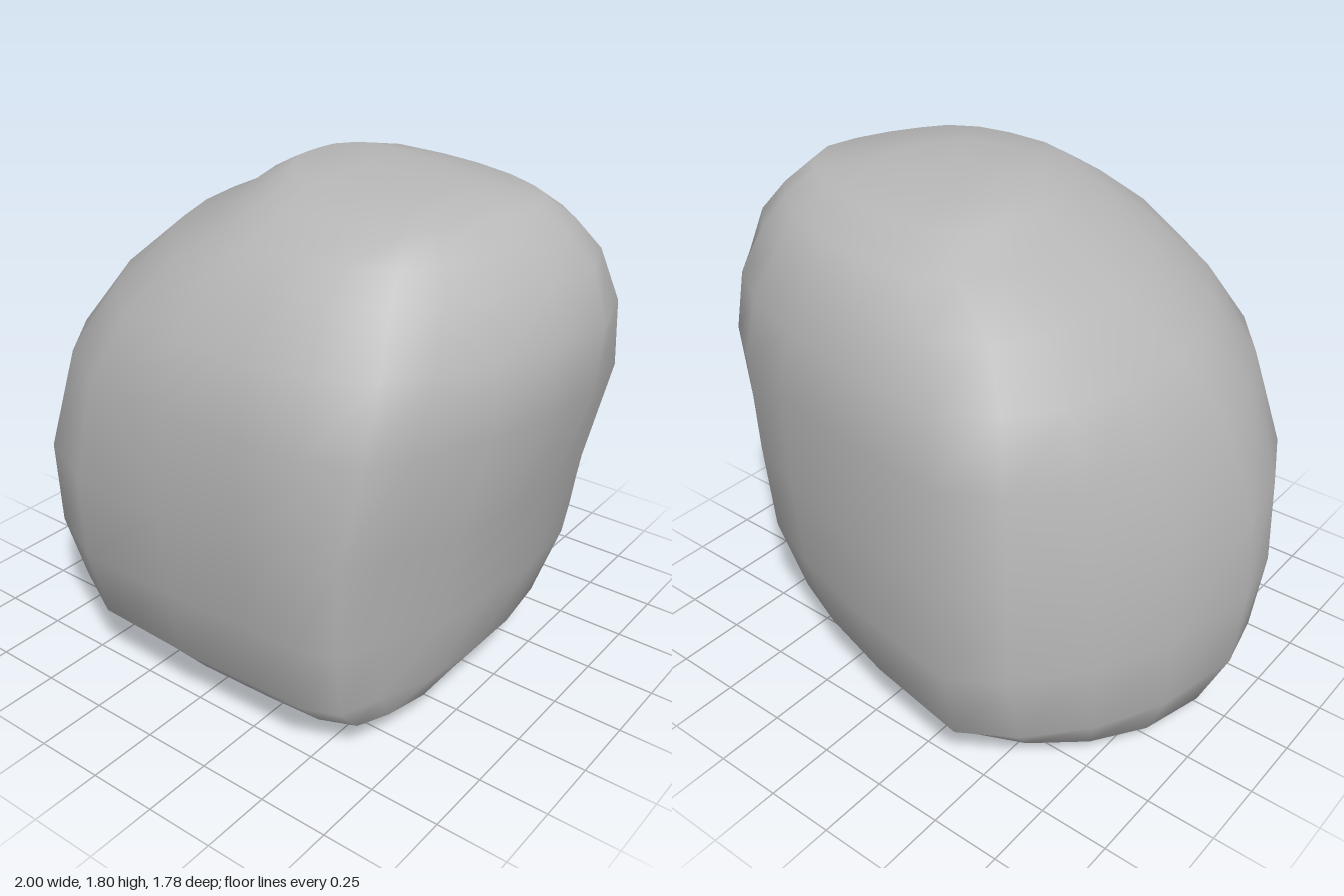
import * as THREE from 'three';

// Plan outlines as [x, z], clockwise from the back-left corner: foot, waist and shoulder
const outlines = [
  [[-0.38, -0.68], [-0.15, -0.62], [0.05, -0.54], [0.25, -0.44], [0.4, -0.29], [0.5, -0.12],
    [0.56, 0.05], [0.6, 0.2], [0.63, 0.36], [0.64, 0.5], [0.61, 0.62], [0.5, 0.68],
    [0.3, 0.69], [0, 0.68], [-0.35, 0.62], [-0.55, 0.45], [-0.68, 0.26], [-0.82, 0.08],
    [-0.87, -0.08], [-0.82, -0.27], [-0.72, -0.43], [-0.58, -0.57]],
  [[-0.45, -0.89], [0, -0.82], [0.35, -0.73], [0.59, -0.64], [0.76, -0.5], [0.83, -0.3],
    [0.85, -0.05], [0.83, 0.2], [0.79, 0.42], [0.69, 0.66], [0.63, 0.81], [0.5, 0.86],
    [0.3, 0.86], [0, 0.88], [-0.4, 0.88], [-0.65, 0.77], [-0.83, 0.57], [-0.95, 0.33],
    [-1, 0.08], [-0.93, -0.3], [-0.8, -0.57], [-0.62, -0.78]],
  [[-0.25, -0.69], [0.05, -0.67], [0.3, -0.62], [0.55, -0.53], [0.74, -0.42], [0.87, -0.3],
    [0.94, -0.12], [0.91, 0.08], [0.84, 0.28], [0.75, 0.45], [0.66, 0.58], [0.5, 0.67],
    [0.3, 0.7], [0.05, 0.69], [-0.15, 0.62], [-0.31, 0.47], [-0.43, 0.27], [-0.5, 0.08],
    [-0.53, -0.1], [-0.53, -0.28], [-0.51, -0.45], [-0.42, -0.6]],
];

// Layers from bottom to top: height, blend between outlines, x range, z range,
// then tilt along x and upward curl toward the front and back
const layers = [
  [0.035, 0, -0.5, 0.4, -0.38, 0.42, 0.03, 0.1],
  [0.035, 0, -0.81, 0.64, -0.66, 0.67, 0.04, 0.12],
  [0.08, 0.3, -0.9, 0.69, -0.73, 0.73, 0.03, 0.1],
  [0.23, 0.75, -0.98, 0.77, -0.83, 0.81, 0, 0],
  [0.50, 0.92, -1, 0.85, -0.88, 0.87, 0, 0],
  [0.82, 1.1, -0.98, 0.9, -0.88, 0.9, 0, 0],
  [1.18, 1.45, -0.88, 1, -0.86, 0.89, 0, 0],
  [1.40, 1.75, -0.73, 1, -0.8, 0.81, 0, 0],
  [1.57, 2, -0.53, 0.94, -0.69, 0.7, 0, 0],
  [1.67, 2, -0.31, 0.86, -0.57, 0.61, 0, 0],
  [1.75, 2, -0.19, 0.78, -0.41, 0.48, 0, 0],
  [1.79, 2, -0.1, 0.5, -0.23, 0.28, -0.02, 0],
];

// Mix the two nearest outlines and fit the result to the layer's ranges
function ring([y, blend, x0, x1, z0, z1, tilt, curl]) {
  const k = Math.min(Math.floor(blend), 1);
  const mixed = outlines[k].map((p, i) =>
    new THREE.Vector2(...p).lerp(new THREE.Vector2(...outlines[k + 1][i]), blend - k));
  const box = new THREE.Box2().setFromPoints(mixed);
  return mixed.flatMap((p) => {
    const x = THREE.MathUtils.mapLinear(p.x, box.min.x, box.max.x, x0, x1);
    const z = THREE.MathUtils.mapLinear(p.y, box.min.y, box.max.y, z0, z1);
    return [x, y + tilt * x + curl * z * z, z];
  });
}

function loft() {
  const n = outlines[0].length;
  const positions = layers.flatMap(ring);
  const index = [];
  const top = layers.length * n;
  const bottom = top + 1;
  positions.push(0.18, 1.8, 0.02, -0.1, 0.03, 0);

  // Skin between the layers, then the two end caps
  for (let i = 0; i < n; i++) {
    const k = (i + 1) % n;
    for (let j = 0; j < layers.length - 1; j++) {
      const a = j * n + i, b = j * n + k;
      index.push(a, a + n, b, b, a + n, b + n);
    }
    index.push(top, top - n + k, top - n + i);
    index.push(bottom, i, k);
  }
  const geometry = new THREE.BufferGeometry();
  geometry.setAttribute('position', new THREE.Float32BufferAttribute(positions, 3));
  geometry.setIndex(index);
  geometry.computeVertexNormals();
  return geometry;
}

export function createModel() {
  const group = new THREE.Group();
  group.name = 'rock';
  const stone = new THREE.MeshStandardMaterial({ color: 0xb8b8b8 });
  stone.name = 'grey stone';
  const boulder = new THREE.Mesh(loft(), stone);
  boulder.name = 'boulder';
  group.add(boulder);
  return group;
}
